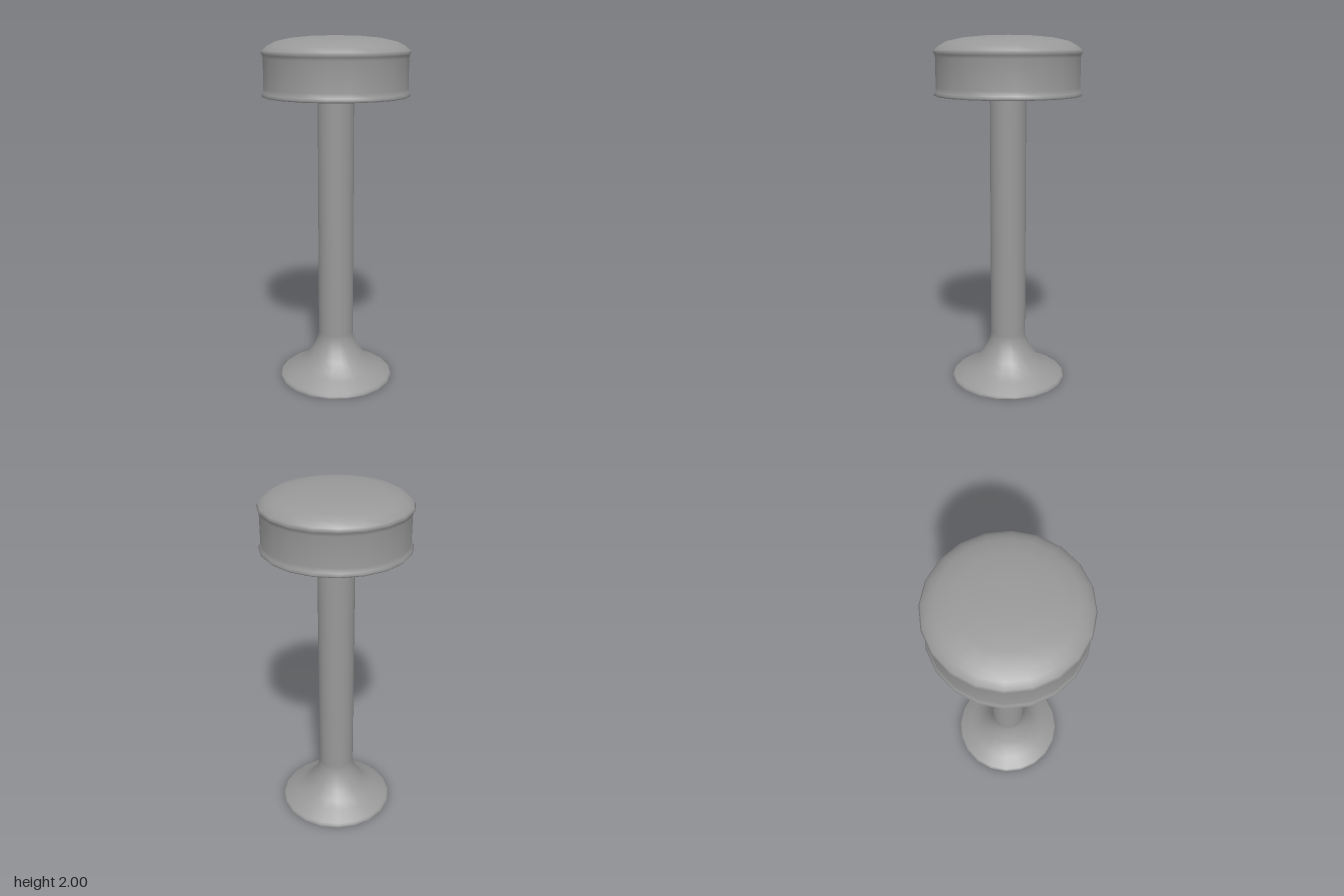
import * as THREE from 'three';
import { toCreasedNormals } from 'three/addons/utils/BufferGeometryUtils.js';

const SIDES = 20;
const material = new THREE.MeshStandardMaterial({ color: 0x999999, side: THREE.DoubleSide });

// Turned part from a [radius, height] profile; only right-angled edges stay sharp
function turned(name, profile) {
  const points = profile.map(([r, y]) => new THREE.Vector2(r, y));
  const geometry = toCreasedNormals(new THREE.LatheGeometry(points, SIDES), 1.35);
  const mesh = new THREE.Mesh(geometry, material);
  mesh.name = name;
  return mesh;
}

export function createModel() {
  const group = new THREE.Group();
  group.name = 'barStool';

  // Flared foot, hollow underneath, running smoothly into the straight column
  group.add(turned('pedestal', [
    [0, 0.24], [0.085, 0.24], [0.11, 0.18], [0.14, 0.13], [0.185, 0.085], [0.24, 0.05], [0.305, 0.012],
    [0.305, 0], [0.333, 0], [0.334, 0.013], [0.322, 0.022],
    [0.25, 0.061], [0.2, 0.094], [0.159, 0.138], [0.128, 0.19], [0.103, 0.25],
    [0.103, 0.28], [0.103, 1.67],
  ]));

  // Round cushion with soft piping at both edges and a domed top
  group.add(turned('seatCushion', [
    [0, 1.663], [0.14, 1.664], [0.385, 1.671],
    [0.406, 1.673], [0.413, 1.682], [0.404, 1.694],
    [0.401, 1.72], [0.401, 1.88],
    [0.404, 1.897], [0.413, 1.908], [0.404, 1.922],
    [0.375, 1.947], [0.335, 1.967], [0.25, 1.986], [0.13, 1.997], [0, 2],
  ]));

  return group;
}
